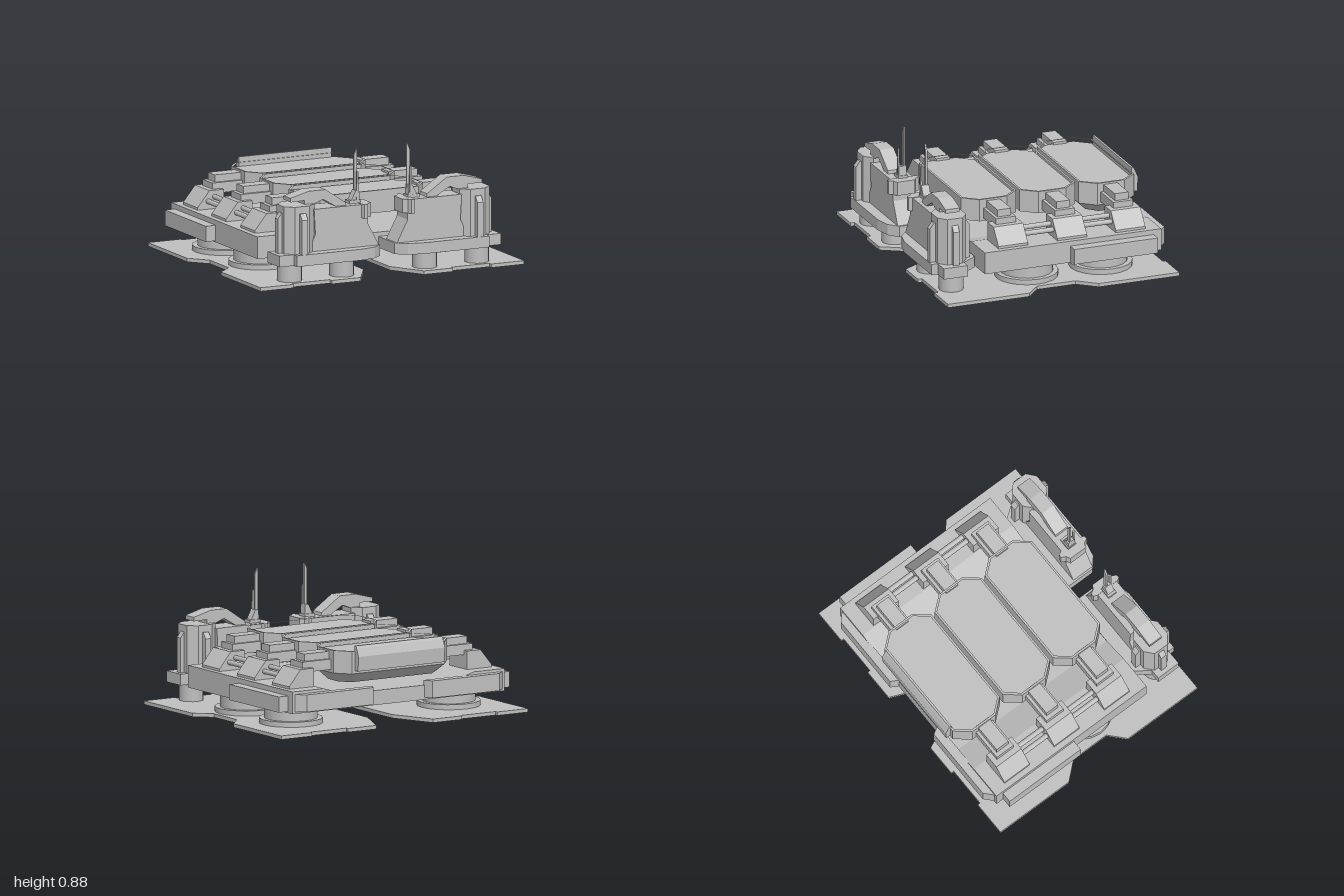
import * as THREE from 'three';

const grey = new THREE.MeshStandardMaterial({ color: 0xc0c0c0 });
grey.name = 'lightGrey';

function add(parent, name, geometry, x = 0, y = 0, z = 0) {
  const mesh = new THREE.Mesh(geometry, grey);
  mesh.name = name;
  mesh.position.set(x, y, z);
  parent.add(mesh);
  return mesh;
}

// Box given by its limits, mirrored in x when s is -1
function box(parent, name, s, [x0, x1], [y0, y1], [z0, z1]) {
  return add(parent, name, new THREE.BoxGeometry(x1 - x0, y1 - y0, z1 - z0),
    s * (x0 + x1) / 2, (y0 + y1) / 2, (z0 + z1) / 2);
}

const toShape = (pts) => new THREE.Shape(pts.map(([a, b]) => new THREE.Vector2(a, b)));

// Plan outline of [x, z] points raised from y0 to y1
function planGeometry(s, pts, y0, y1, hole) {
  const flip = (list) => list.map(([x, z]) => [s * x, -z]);
  const shape = toShape(flip(pts));
  if (hole) shape.holes.push(toShape(flip(hole)));
  return new THREE.ExtrudeGeometry(shape, { depth: y1 - y0, bevelEnabled: false })
    .rotateX(-Math.PI / 2).translate(0, y0, 0);
}

// Front profile of [x, y] points running from z0 to z1
function profileGeometry(s, pts, z0, z1) {
  return new THREE.ExtrudeGeometry(toShape(pts.map(([x, y]) => [s * x, y])),
    { depth: z1 - z0, bevelEnabled: false }).translate(0, 0, z0);
}

function cylinder(parent, name, r, x, y0, y1, z, sides = 20) {
  return add(parent, name, new THREE.CylinderGeometry(r, r, y1 - y0, sides), x, (y0 + y1) / 2, z);
}

const octagon = (hx, hz, fx, fz, cx = 0, cz = 0) => [
  [hx, -fz], [hx, fz], [fx, hz], [-fx, hz], [-hx, fz], [-hx, -fz], [-fx, -hz], [fx, -hz],
].map(([x, z]) => [cx + x, cz + z]);

// Eight-sided tray with a raised rim
function buildTray(parent, z) {
  const tray = new THREE.Group();
  tray.name = 'tray';
  tray.position.z = z;
  parent.add(tray);
  const outer = octagon(0.46, 0.202, 0.375, 0.1);
  add(tray, 'trayBody', planGeometry(1, outer, 0.38, 0.505));
  add(tray, 'trayRim', planGeometry(1, outer, 0.505, 0.535, octagon(0.445, 0.187, 0.368, 0.094)));
  return tray;
}

// Thin foot plate, legs and side fittings of one half
function buildHalf(s) {
  const half = new THREE.Group();
  half.name = s > 0 ? 'leftSide' : 'rightSide';

  add(half, 'footPlate', planGeometry(s, [
    [1, -0.855], [1, -0.267], [0.89, -0.14], [0.89, 0.14], [1, 0.24], [1, 0.835], [0.75, 0.835],
    [0.75, 0.805], [0.46, 0.805], [0.46, 0.835], [0.24, 0.835], [0.1, 0.6], [0.1, -0.55],
    [0.23, -0.855], [0.46, -0.855], [0.46, -0.835], [0.75, -0.835], [0.75, -0.855],
  ], 0, 0.025));

  for (const z of [0.117, -0.425]) {
    cylinder(half, 'legFlange', 0.217, s * 0.64, 0.02, 0.06, z);
    cylinder(half, 'mainLeg', 0.182, s * 0.64, 0.06, 0.155, z);
  }
  for (const x of [0.315, 0.71]) cylinder(half, 'frontLeg', 0.084, s * x, 0.02, 0.15, 0.695, 16);

  box(half, 'sidePanel', s, [0.85, 0.935], [0.16, 0.268], [-0.725, -0.115]);
  add(half, 'rearBumper', planGeometry(s, [
    [0.84, -0.77], [0.84, -0.78], [0.78, -0.835], [0.24, -0.835], [0.21, -0.78], [0.21, -0.77],
  ], 0.165, 0.283));

  // Wedge blocks with stepped arms reaching to the trays
  for (const z of [0.285, -0.145, -0.572]) {
    add(half, 'wedgeBlock', profileGeometry(s,
      [[0.62, 0.29], [0.82, 0.29], [0.82, 0.32], [0.73, 0.43], [0.62, 0.43]], z - 0.108, z + 0.108));
    box(half, 'arm', s, [0.44, 0.69], [0.4, 0.472], [z - 0.072, z + 0.072]);
    box(half, 'armCap', s, [0.44, 0.66], [0.472, 0.522], [z - 0.05, z + 0.05]);
  }

  // Rods joining the blocks
  for (const [x, y] of [[0.74, 0.358], [0.69, 0.385]]) {
    add(half, 'rod', new THREE.CylinderGeometry(0.018, 0.018, 0.88, 10).rotateX(Math.PI / 2),
      s * x, y, -0.145);
  }

  half.add(buildPod(s));
  return half;
}

// Front pod with column, arched vane and antennas
function buildPod(s) {
  const pod = new THREE.Group();
  pod.name = 'frontPod';

  add(pod, 'podBase', planGeometry(s, [
    [0.055, 0.515], [0.69, 0.515], [0.77, 0.625], [0.84, 0.625], [0.84, 0.8], [0.73, 0.8],
    [0.73, 0.845], [0.24, 0.845], [0.125, 0.82], [0.055, 0.76],
  ], 0.145, 0.222));
  add(pod, 'podBody', profileGeometry(s, [
    [0.065, 0.215], [0.61, 0.215], [0.6, 0.235], [0.55, 0.34], [0.56, 0.513], [0.15, 0.513], [0.15, 0.375],
  ], 0.605, 0.768));
  add(pod, 'innerClamp', planGeometry(s, [
    [0.12, 0.62], [0.15, 0.605], [0.165, 0.575], [0.19, 0.575], [0.2, 0.6],
    [0.2, 0.77], [0.19, 0.795], [0.165, 0.795], [0.15, 0.765], [0.12, 0.75],
  ], 0.42, 0.517));

  // Eight-sided column with three fins
  add(pod, 'column', planGeometry(s, octagon(0.115, 0.105, 0.055, 0.055, 0.665, 0.695), 0.215, 0.548));
  const fin = [[0.07, 0.215], [0.145, 0.215], [0.145, 0.46], [0.115, 0.5], [0.07, 0.5]];
  for (const turn of [0, Math.PI / 2, -Math.PI / 2]) {
    const mesh = add(pod, 'fin', profileGeometry(1, fin, -0.022, 0.022), s * 0.665, 0, 0.695);
    mesh.rotation.y = turn + (s < 0 && turn === 0 ? Math.PI : 0);
  }

  add(pod, 'archedVane', profileGeometry(s, [
    [0.725, 0.572], [0.725, 0.6], [0.59, 0.636], [0.46, 0.636], [0.31, 0.535], [0.305, 0.505],
    [0.37, 0.505], [0.48, 0.57], [0.56, 0.54], [0.62, 0.54], [0.62, 0.575],
  ], 0.638, 0.742));

  // Antennas on a small mount
  box(pod, 'antennaMount', s, [0.18, 0.265], [0.51, 0.535], [0.647, 0.715]);
  add(pod, 'antennaFoot', profileGeometry(s,
    [[0.185, 0.53], [0.25, 0.53], [0.215, 0.6], [0.19, 0.6]], 0.655, 0.71));
  add(pod, 'tallAntenna', profileGeometry(s,
    [[0.188, 0.52], [0.212, 0.52], [0.212, 0.84], [0.192, 0.885], [0.188, 0.885]], 0.665, 0.678));
  add(pod, 'shortAntenna', profileGeometry(s,
    [[0.192, 0.52], [0.212, 0.52], [0.208, 0.73], [0.196, 0.73]], 0.702, 0.714));
  return pod;
}

export function createModel() {
  const model = new THREE.Group();
  model.name = 'platform';

  // Hull with a shallow channel along its middle
  add(model, 'hull', profileGeometry(1, [
    [-0.86, 0.15], [0.86, 0.15], [0.86, 0.303], [0.61, 0.303], [0.42, 0.25],
    [-0.42, 0.25], [-0.61, 0.303], [-0.86, 0.303],
  ], -0.78, 0.508));

  for (const z of [0.285, -0.145]) buildTray(model, z);
  const rearTray = buildTray(model, -0.575);

  // Tapered underside below the rear tray
  const taper = planGeometry(1, octagon(0.46, 0.202, 0.375, 0.1), 0.31, 0.38);
  const p = taper.attributes.position;
  for (let i = 0; i < p.count; i++) {
    if (p.getY(i) < 0.34) p.setXYZ(i, p.getX(i) * 0.85, p.getY(i), p.getZ(i) * 0.65);
  }
  taper.computeVertexNormals();
  add(rearTray, 'trayUnderside', taper);

  // Upright panel behind the rear tray
  const panel = profileGeometry(1, [
    [0.77, 0.4], [0.812, 0.4], [0.818, 0.5], [0.795, 0.555], [0.785, 0.572], [0.77, 0.572],
  ], -0.35, 0.35).rotateY(Math.PI / 2);
  add(model, 'rearPanel', panel);

  model.add(buildHalf(1), buildHalf(-1));
  return model;
}
